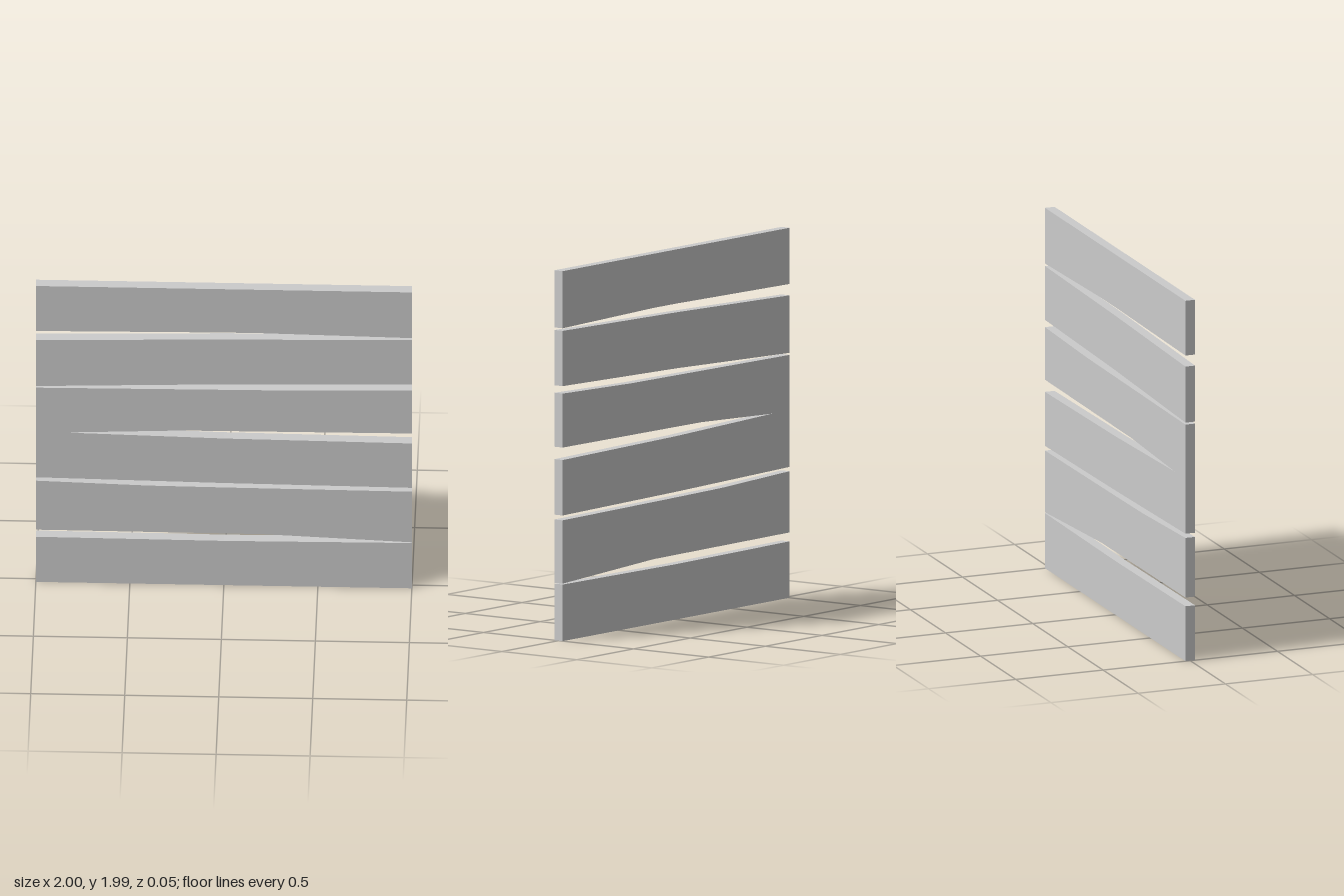
import * as THREE from 'three';

const THICKNESS = 0.055;

// Lower and upper edge of each plank, as [x, y] from the right end to the left
const planks = [
  { lower: [[-1, 0], [1, 0]], upper: [[-1, 0.303], [0, 0.297], [1, 0.304]] },
  { lower: [[-1, 0.351], [0.2, 0.347], [1, 0.309]], upper: [[-1, 0.68], [-0.4, 0.66], [0, 0.656], [1, 0.649]] },
  { lower: [[-1, 0.703], [0, 0.686], [1, 0.675]], upper: [[-1, 1.003], [-0.85, 1.007], [0, 0.985], [1, 0.973]] },
  { lower: [[-1, 1.003], [-0.85, 1.007], [-0.22, 1.034], [1, 1.04]], upper: [[-1, 1.305], [0.4, 1.315], [1, 1.33]] },
  { lower: [[-1, 1.316], [0, 1.349], [1, 1.37]], upper: [[-1, 1.625], [0, 1.65], [1, 1.667]] },
  { lower: [[-1, 1.686], [0, 1.697], [0.2, 1.697], [1, 1.681]], upper: [[-1, 1.988], [1, 1.988]] },
];

export function createModel() {
  const group = new THREE.Group();
  group.name = 'plankPanel';
  const material = new THREE.MeshStandardMaterial({ color: 0xcccccc, flatShading: true });

  // Rough-sawn horizontal boards, stacked from the ground up
  planks.forEach(({ lower, upper }, i) => {
    const outline = [...lower, ...[...upper].reverse()].map(([x, y]) => new THREE.Vector2(x, y));
    const geometry = new THREE.ExtrudeGeometry(new THREE.Shape(outline), { depth: THICKNESS, bevelEnabled: false });
    geometry.translate(0, 0, -THICKNESS / 2);
    const plank = new THREE.Mesh(geometry, material);
    plank.name = `plank${i + 1}`;
    group.add(plank);
  });
  return group;
}
